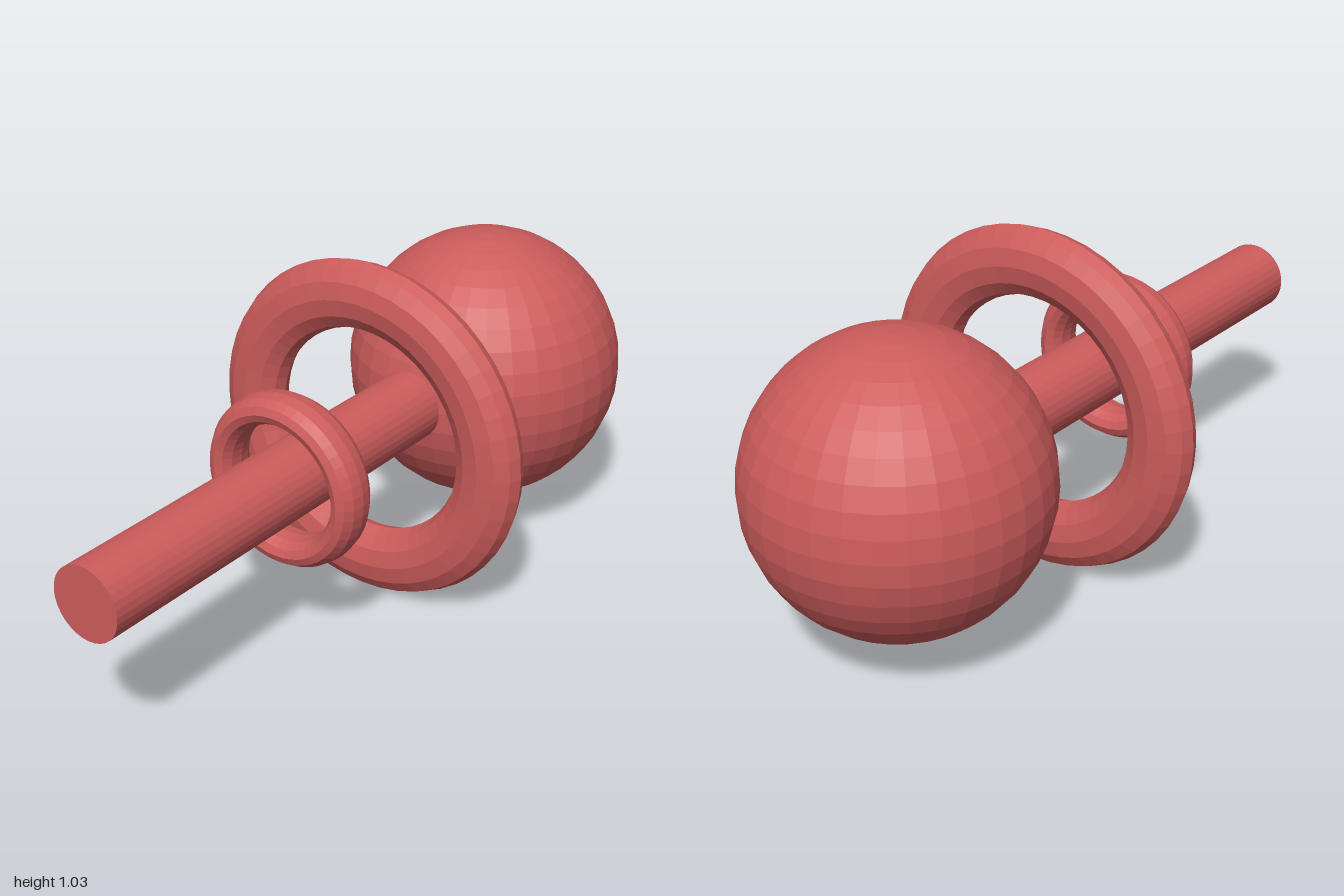
import * as THREE from 'three';

export function createModel() {
  const model = new THREE.Group();
  model.name = 'ringedRattle';

  const red = new THREE.MeshStandardMaterial({ color: 0xcd5c5c, flatShading: true });
  red.name = 'softRed';

  // Local frame: +z runs along the handle, origin at the ball's centre
  const toy = new THREE.Group();
  toy.name = 'rattle';
  toy.position.set(0.276, 0.52, -0.58);
  toy.rotation.y = -Math.PI / 6;
  model.add(toy);

  const add = (name, geometry, z) => {
    const mesh = new THREE.Mesh(geometry, red);
    mesh.name = name;
    mesh.position.z = z;
    toy.add(mesh);
    return mesh;
  };

  // Ball at the end of the handle
  add('ball', new THREE.SphereGeometry(0.42, 32, 20), 0);

  // Straight handle, buried in the ball
  const length = 1.762;
  const rod = new THREE.CylinderGeometry(0.107, 0.107, length, 32);
  rod.rotateX(Math.PI / 2);
  add('handle', rod, length / 2);

  // Loose rings with an oval cross-section: radial half-width and axial half-depth
  const ring = (name, radius, width, depth, z) => {
    const geometry = new THREE.TorusGeometry(radius, width, 12, 48);
    geometry.scale(1, 1, depth / width);
    add(name, geometry, z);
  };
  ring('largeRing', 0.415, 0.102, 0.068, 0.603);
  ring('smallRing', 0.213, 0.044, 0.068, 0.975);

  return model;
}
